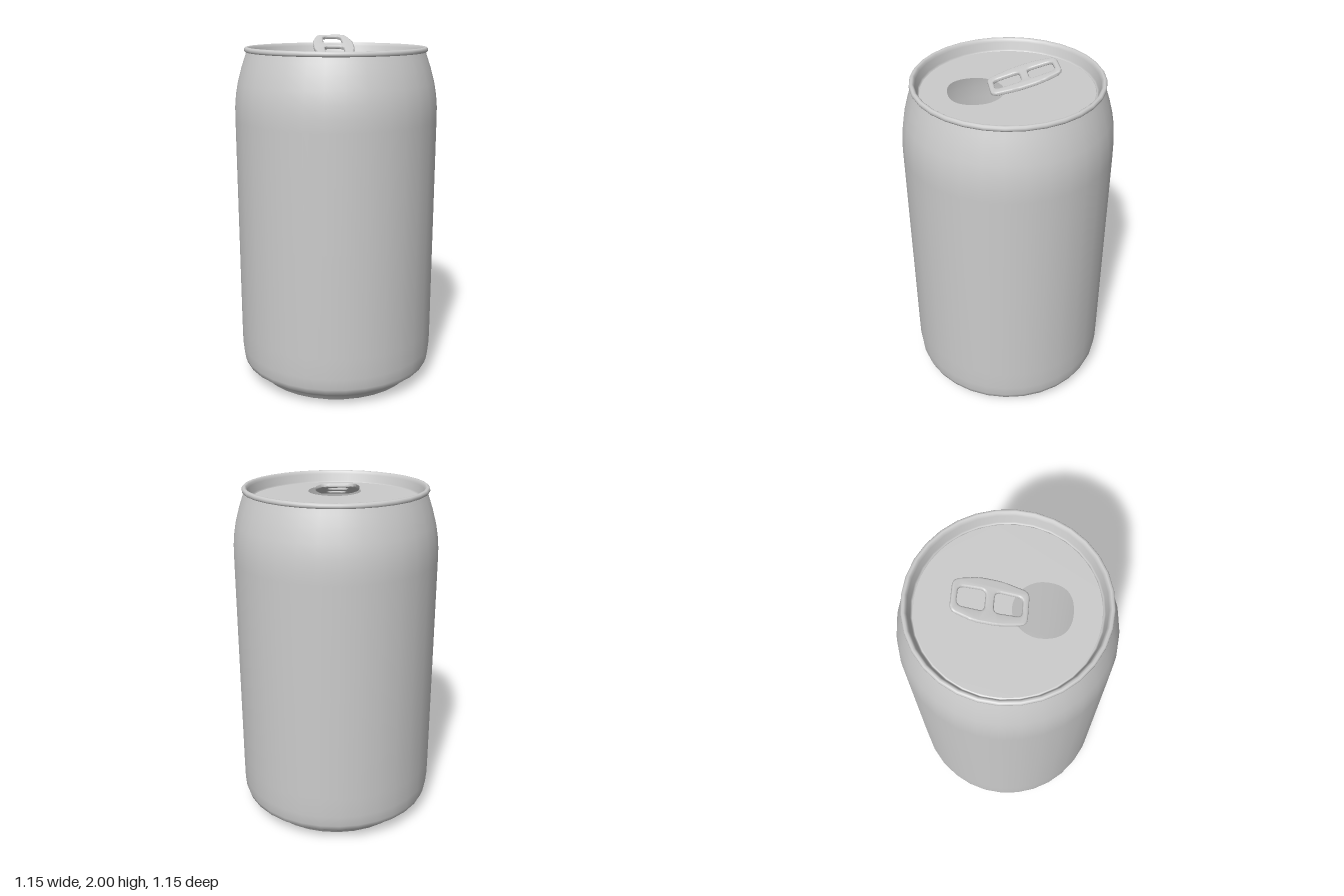
import * as THREE from 'three';
import { toCreasedNormals } from 'three/addons/utils/BufferGeometryUtils.js';

const SIDES = 32;
const LID_Y = 1.885;
const LID_R = 0.46;

const metal = new THREE.MeshStandardMaterial({ color: 0xcccccc, side: THREE.DoubleSide });

function addMesh(group, name, geometry) {
  const mesh = new THREE.Mesh(geometry, metal);
  mesh.name = name;
  group.add(mesh);
  return mesh;
}

function lathe(points) {
  return new THREE.LatheGeometry(points.map(([r, y]) => new THREE.Vector2(r, y)), SIDES);
}

// Closed polygon whose corners are rounded by a distance r along each edge
function roundedPolygon(corners, r, PathType = THREE.Shape) {
  const pts = corners.map(([x, y]) => new THREE.Vector2(x, y));
  const path = new PathType();
  pts.forEach((p, i) => {
    const prev = pts[(i + pts.length - 1) % pts.length];
    const next = pts[(i + 1) % pts.length];
    const a = p.clone().add(prev.clone().sub(p).setLength(r));
    const b = p.clone().add(next.clone().sub(p).setLength(r));
    if (i === 0) path.moveTo(a.x, a.y);
    else path.lineTo(a.x, a.y);
    path.quadraticCurveTo(p.x, p.y, b.x, b.y);
  });
  path.closePath();
  return path;
}

function buildTab() {
  const outline = roundedPolygon([
    [-0.088, -0.192], [0.088, -0.192], [0.117, -0.05], [0.117, 0.07],
    [0.083, 0.192], [-0.083, 0.192], [-0.117, 0.07], [-0.117, -0.05],
  ], 0.035);
  // Finger hole and front hole
  for (const [low, high, wLow, wHigh] of [[0.025, 0.162, 0.055, 0.05], [-0.162, -0.02, 0.05, 0.055]]) {
    outline.holes.push(roundedPolygon(
      [[-wLow, low], [-wHigh, high], [wHigh, high], [wLow, low]], 0.03, THREE.Path));
  }
  const geometry = new THREE.ExtrudeGeometry(outline, {
    depth: 0.006, bevelEnabled: true, bevelThickness: 0.008, bevelSize: 0.01,
    bevelOffset: -0.01, bevelSegments: 3, curveSegments: 5,
  });
  geometry.translate(0, 0, -0.003);
  geometry.rotateX(-Math.PI / 2);
  return toCreasedNormals(geometry, 0.9);
}

export function createModel() {
  const can = new THREE.Group();
  can.name = 'can';

  // Concave base, foot ring, straight wall and tapered neck
  addMesh(can, 'body', lathe([
    [0, 0.16], [0.12, 0.15], [0.24, 0.12], [0.34, 0.08], [0.41, 0.04], [0.44, 0.012],
    [0.45, 0.002], [0.46, 0], [0.467, 0.004], [0.477, 0.025], [0.495, 0.042], [0.535, 0.066],
    [0.558, 0.085], [0.568, 0.115], [0.574, 0.18], [0.575, 0.3], [0.575, 0.9], [0.575, 1.55],
    [0.574, 1.62], [0.567, 1.69], [0.555, 1.755], [0.533, 1.835], [0.514, 1.89], [0.503, 1.922],
  ]));

  // Rolled rim with the sloping wall down to the lid
  addMesh(can, 'rim', lathe([
    [0.503, 1.922], [0.511, 1.924], [0.515, 1.932], [0.514, 1.942], [0.508, 1.949],
    [0.498, 1.95], [0.49, 1.944], [0.485, 1.93], [0.474, 1.89], [0.47, 1.88],
    [0.465, 1.88], [LID_R, LID_Y],
  ]));

  // Flat lid with the drinking opening
  const lidShape = new THREE.Shape().absarc(0, 0, LID_R, 0, Math.PI * 2, false);
  const opening = new THREE.Path();
  opening.moveTo(0, -0.02);
  opening.bezierCurveTo(0.08, -0.02, 0.15, -0.09, 0.15, -0.17);
  opening.bezierCurveTo(0.15, -0.27, 0.1, -0.32, 0, -0.32);
  opening.bezierCurveTo(-0.1, -0.32, -0.15, -0.27, -0.15, -0.17);
  opening.bezierCurveTo(-0.15, -0.09, -0.08, -0.02, 0, -0.02);
  lidShape.holes.push(opening);
  const lid = addMesh(can, 'lid', new THREE.ShapeGeometry(lidShape, SIDES));
  lid.rotation.x = -Math.PI / 2;
  lid.position.y = LID_Y;

  // Pull tab, raised toward the back
  const tab = addMesh(can, 'pullTab', buildTab());
  tab.rotation.x = 0.27;
  tab.position.set(-0.005, 1.945, -0.085);

  return can;
}
